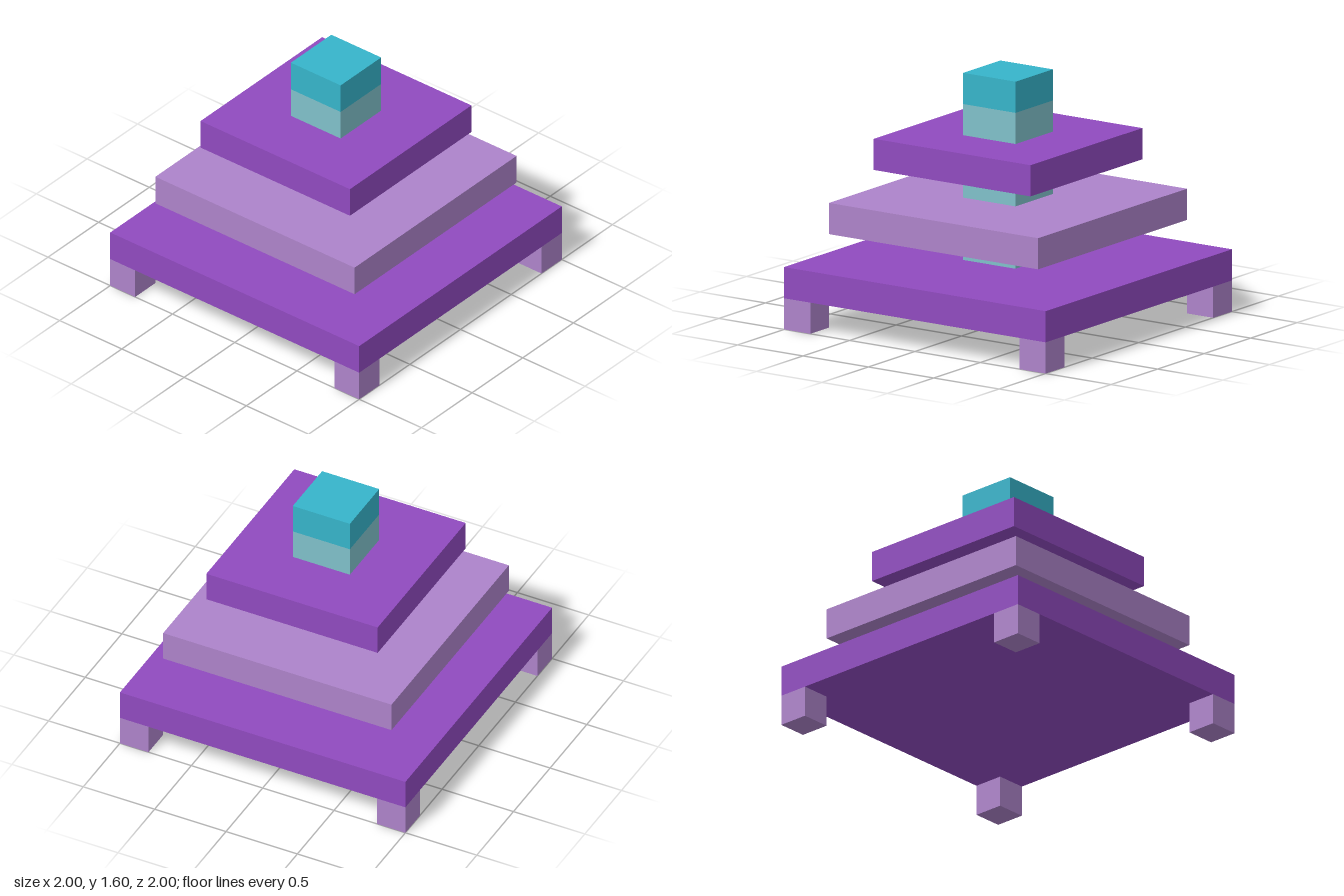
import * as THREE from 'three';

function material(name, color) {
  const m = new THREE.MeshStandardMaterial({ color });
  m.name = name;
  return m;
}

export function createModel() {
  const model = new THREE.Group();
  model.name = 'tieredStand';

  const purple = material('purple', 0x904abf);
  const lilac = material('lilac', 0xad83ca);
  const paleTeal = material('paleTeal', 0x80c0ca);
  const teal = material('teal', 0x36b4ca);

  const unit = 0.2; // every layer is one unit high

  // Square block, one unit high, with its base at y
  function block(name, width, y, mat, x = 0, z = 0) {
    const mesh = new THREE.Mesh(new THREE.BoxGeometry(width, unit, width), mat);
    mesh.name = name;
    mesh.position.set(x, y + unit / 2, z);
    model.add(mesh);
  }

  // Four corner feet
  for (const [sx, side] of [[1, 'Left'], [-1, 'Right']]) {
    for (const [sz, end] of [[1, 'front'], [-1, 'back']]) {
      block(`${end}${side}Foot`, unit, 0, lilac, sx * 0.9, sz * 0.9);
    }
  }

  // Three shrinking tiers, each with a column block on top
  const tiers = [
    ['lower', 2.0, 0.2, purple],
    ['middle', 1.6, 0.6, lilac],
    ['upper', 1.2, 1.0, purple],
  ];
  for (const [level, width, y, mat] of tiers) {
    block(`${level}Tier`, width, y, mat);
    block(`${level}Column`, 0.4, y + unit, paleTeal);
  }

  // Cap of the column
  block('columnCap', 0.4, 1.4, teal);

  return model;
}
